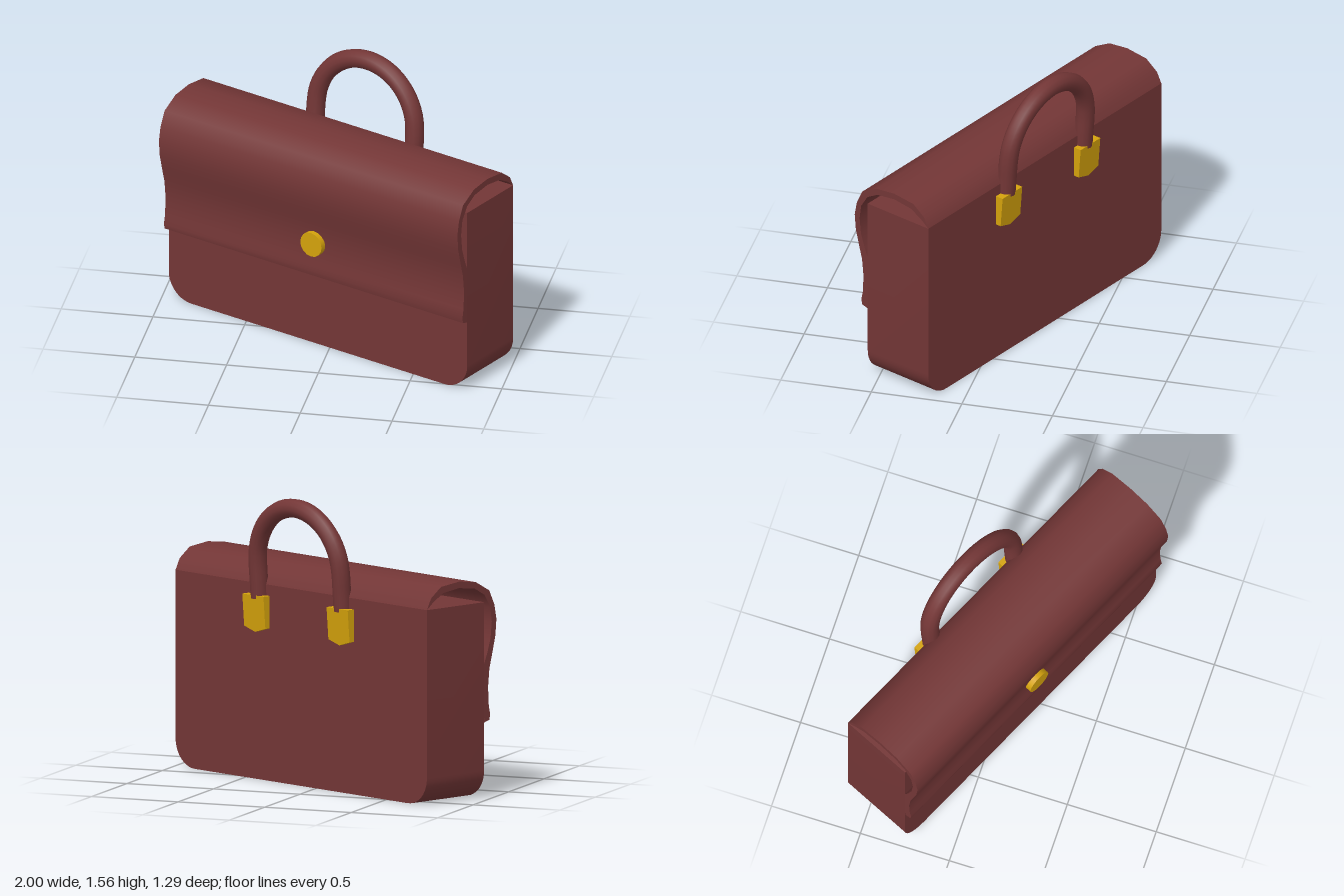
import * as THREE from 'three';
import { toCreasedNormals } from 'three/addons/utils/BufferGeometryUtils.js';

const HALF = 0.985;   // half length of the bag
const BACK = -0.25;   // back plane of the bag
const FRONT = 0.168;  // front plane of the body

export function createModel() {
  const leather = new THREE.MeshStandardMaterial({ color: 0x733636 });
  leather.name = 'leather';
  const brass = new THREE.MeshStandardMaterial({ color: 0xd4a20c });
  brass.name = 'brass';

  const bag = new THREE.Group();
  bag.name = 'briefcase';
  const add = (name, geometry, material) => {
    const mesh = new THREE.Mesh(geometry, material);
    mesh.name = name;
    bag.add(mesh);
    return mesh;
  };
  const extrude = (shape, depth) =>
    new THREE.ExtrudeGeometry(shape, { depth, bevelEnabled: false, curveSegments: 5 });
  const vectors = (pairs) => pairs.map(([x, y]) => new THREE.Vector2(x, y));

  // Body: flat box with rounded lower corners
  const r = 0.15, top = 1.06;
  const bodyShape = new THREE.Shape();
  bodyShape.moveTo(-HALF, top);
  bodyShape.lineTo(-HALF, r);
  bodyShape.absarc(-HALF + r, r, r, Math.PI, Math.PI * 1.5, false);
  bodyShape.absarc(HALF - r, r, r, Math.PI * 1.5, Math.PI * 2, false);
  bodyShape.lineTo(HALF, top);
  bodyShape.closePath();
  const body = extrude(bodyShape, FRONT - BACK);
  body.translate(0, 0, BACK);
  add('body', toCreasedNormals(body, 0.7), leather);

  // Flap: side profile (z, y) swept along the length of the bag
  const outer = [
    [-0.25, 1.06], [-0.22, 1.12], [-0.147, 1.175], [-0.015, 1.19], [0.107, 1.175],
    [0.206, 1.12], [0.243, 1.04], [0.258, 0.96], [0.25, 0.87], [0.228, 0.78],
    [0.207, 0.7], [0.197, 0.6], [0.202, 0.5], [0.212, 0.45], [0.206, 0.42], [0.172, 0.41],
  ];
  const inner = [
    [0.166, 0.455], [0.166, 0.72], [0.19, 0.78], [0.215, 0.86], [0.224, 0.95],
    [0.213, 1.03], [0.17, 1.1], [0.1, 1.14], [-0.015, 1.155], [-0.13, 1.14], [-0.2, 1.1],
  ];
  const flap = extrude(new THREE.Shape(vectors([...outer, ...inner])), HALF * 2);
  flap.rotateY(-Math.PI / 2);
  flap.translate(HALF, 0, 0);
  add('flap', toCreasedNormals(flap, 0.9), leather);

  // Round clasp button on the flap
  const button = new THREE.CylinderGeometry(0.07, 0.07, 0.05, 16);
  button.rotateX(Math.PI / 2);
  add('claspButton', button, brass).position.set(0, 0.615, 0.208);

  // Handle: arch leaning slightly away from the back
  const span = 0.325, archY = 1.18;
  const lean = (y) => -0.25 - (y - 1) * 0.08;
  const path = [];
  const point = (x, y) => path.push(new THREE.Vector3(x, y, lean(y)));
  point(-span, 0.985);
  point(-span, 1.08);
  for (let i = 0; i <= 12; i++) {
    const a = Math.PI * (1 - i / 12);
    point(Math.cos(a) * span, archY + Math.sin(a) * span);
  }
  point(span, 1.08);
  point(span, 0.985);
  const arch = new THREE.CatmullRomCurve3(path);
  add('handle', new THREE.TubeGeometry(arch, 48, 0.051, 12, false), leather);

  // Pointed handle plates, thinner towards the bottom
  const plateShape = new THREE.Shape(vectors([
    [-0.083, 1], [-0.083, 0.825], [0, 0.8], [0.083, 0.825], [0.083, 1],
  ]));
  for (const [side, name] of [[1, 'leftHandlePlate'], [-1, 'rightHandlePlate']]) {
    const plate = extrude(plateShape, 0.047);
    const pos = plate.attributes.position;
    for (let i = 0; i < pos.count; i++) {
      if (pos.getZ(i) < 0.01) pos.setZ(i, (1 - pos.getY(i)) * 0.08);
    }
    plate.translate(side * 0.33, 0, BACK - 0.046);
    plate.computeVertexNormals();
    add(name, plate, brass);
  }

  // The bag stands at an angle
  bag.rotation.y = -0.432;
  const model = new THREE.Group();
  model.name = 'model';
  model.add(bag);
  return model;
}
